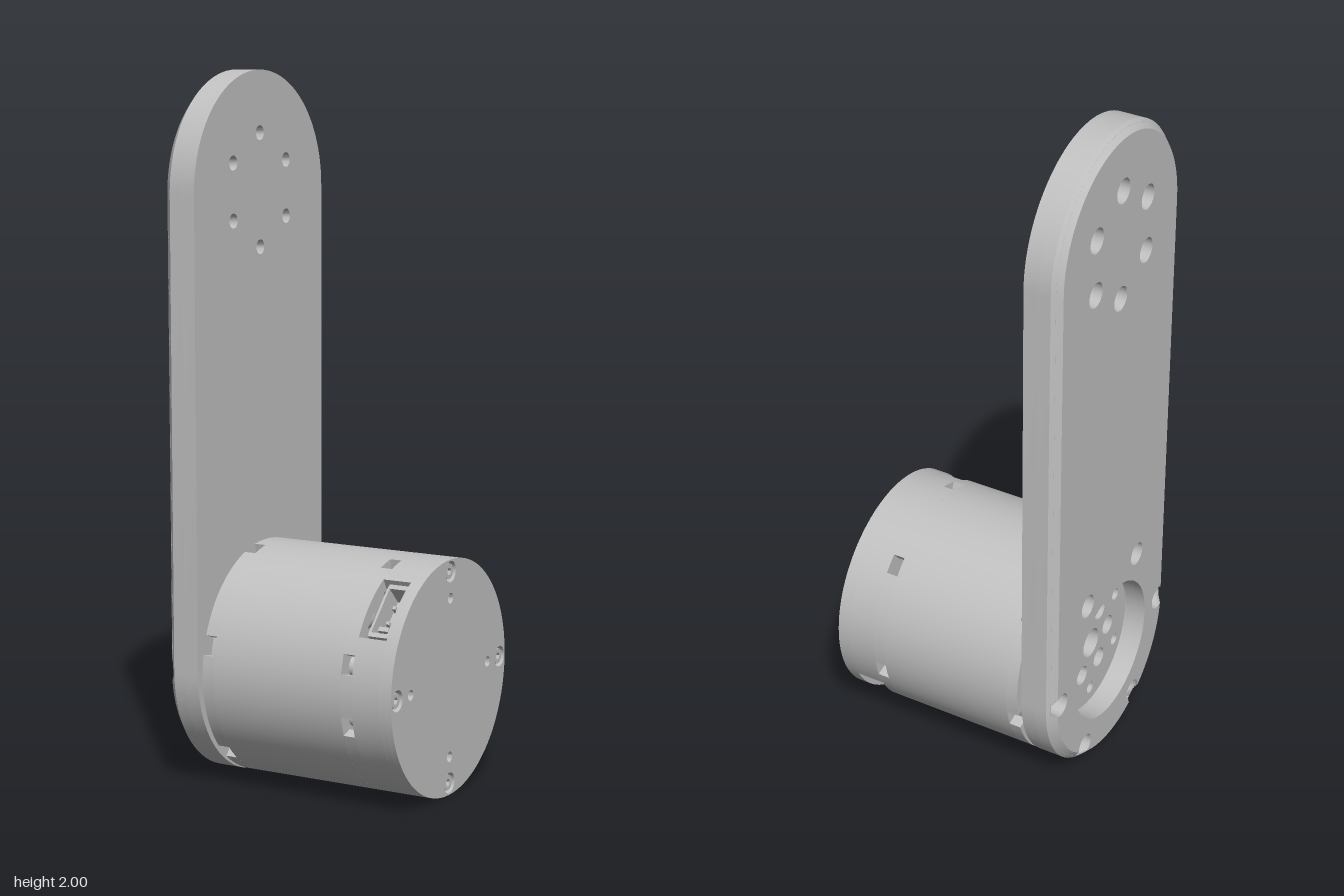
import * as THREE from 'three';
import { toCreasedNormals } from 'three/addons/utils/BufferGeometryUtils.js';

const C = 0.335;            // height of the motor axis
const T = 1.665;            // height of the arm's upper centre
const R = 0.335;            // arm end radius
const RAD = Math.PI / 180;

const metal = new THREE.MeshStandardMaterial({ color: 0xc0c0c0 });
metal.name = 'light grey metal';

const P = (u, v) => new THREE.Vector2(u, v);

// points along an arc, angles in radians
function arc(u, v, r, a0, a1, n) {
  return Array.from({ length: n + 1 }, (_, i) => {
    const a = a0 + ((a1 - a0) * i) / n;
    return P(u + r * Math.cos(a), v + r * Math.sin(a));
  });
}
const circle = (u, v, r, n = 24) => arc(u, v, r, 0, 2 * Math.PI, n).slice(0, -1);

// ring of circular holes around a centre height
function holeRing(cv, pitch, r, count, startDeg) {
  return Array.from({ length: count }, (_, i) => {
    const a = (startDeg + (i * 360) / count) * RAD;
    return circle(pitch * Math.cos(a), cv + pitch * Math.sin(a), r, 20);
  });
}

// extrude a side outline along +x from x0 to x1; optional rule moves the far end
function slab(points, holes, x0, x1, farRule) {
  const shape = new THREE.Shape(points);
  holes.forEach((h) => shape.holes.push(new THREE.Path(h)));
  const geo = new THREE.ExtrudeGeometry(shape, { depth: x1 - x0, bevelEnabled: false });
  const p = geo.attributes.position;
  if (farRule) {
    for (let i = 0; i < p.count; i++) {
      if (p.getZ(i) > (x1 - x0) / 2) {
        const q = farRule(p.getX(i), p.getY(i));
        p.setXY(i, q[0], q[1]);
      }
    }
  }
  geo.rotateY(Math.PI / 2);
  geo.translate(x0, 0, 0);
  geo.computeVertexNormals();
  return toCreasedNormals(geo, 0.5);
}

function add(parent, name, geo) {
  const m = new THREE.Mesh(geo, metal);
  m.name = name;
  parent.add(m);
  return m;
}

// long rounded arm outline, optionally with bolt holes breaking its lower edge
const BOLT = 0.29, BOLT_R = 0.035;
function armOutline(r, notched) {
  const top = arc(0, T, r, 0, Math.PI, 48);
  if (!notched) return [...top, ...arc(0, C, r, Math.PI, 2 * Math.PI, 48)];
  const d = Math.acos((r * r + BOLT * BOLT - BOLT_R * BOLT_R) / (2 * r * BOLT));
  const phi = Math.acos((r * Math.cos(d) - BOLT) / BOLT_R);
  const pts = [...top];
  for (let k = 0; k < 4; k++) {
    const a = (180 + 60 * k) * RAD;
    pts.push(...arc(BOLT * Math.cos(a), C + BOLT * Math.sin(a), BOLT_R, a - phi, a + phi - 2 * Math.PI, 16));
    if (k < 3) pts.push(...arc(0, C, r, a + d, a + 60 * RAD - d, 16).slice(1, -1));
  }
  return pts;
}

// widen the outer edge of an arm slice from radius r0 to r1
const widen = (r0, r1) => (u, v) => {
  const cv = Math.min(T, Math.max(C, v));
  const d = Math.hypot(u, v - cv);
  return d > r0 - 0.002 ? [(u * r1) / d, cv + ((v - cv) * r1) / d] : [u, v];
};

function makeArm() {
  const arm = new THREE.Group();
  arm.name = 'arm';
  const bore = circle(0, C, 0.21, 64);
  const wide = [bore, ...holeRing(T, 0.16, 0.036, 6, 30)];
  const bolts = holeRing(C, BOLT, BOLT_R, 6, 0);
  // chamfer cut through by the bolt recesses
  const step = 0.0047;
  for (let i = 0; i < 3; i++) {
    const r0 = 0.311 + step * i, x0 = -0.36 + step * i;
    add(arm, 'armChamfer', slab(armOutline(r0, true), [...wide, bolts[1], bolts[2]], x0, x0 + step, widen(r0, r0 + step)));
  }
  add(arm, 'armChamferBase', slab(armOutline(0.3255, false), [...wide, ...bolts], -0.3459, -0.336, widen(0.3255, R)));
  add(arm, 'armRecessLayer', slab(armOutline(R, false), [...wide, ...bolts], -0.336, -0.3, null));
  add(arm, 'armBackLayer', slab(armOutline(R, false),
    [bore, ...holeRing(T, 0.16, 0.021, 6, 30), ...holeRing(C, BOLT, 0.02, 6, 0)], -0.3, -0.257, null));
  return arm;
}

// part of the housing wall between two angles, measured from the front upwards
function wall(parent, name, d0, d1, x0, x1) {
  const a0 = (180 - d1) * RAD, a1 = (180 - d0) * RAD;
  const n = Math.max(4, Math.round((d1 - d0) / 4));
  const pts = [...arc(0, C, 0.334, a0, a1, n), ...arc(0, C, 0.3, a1, a0, n)];
  add(parent, name, slab(pts, [], x0, x1));
}

// band of wall with openings at the given angles
function windowBand(parent, name, centres, half, x0, x1) {
  centres.forEach((c, i) => {
    const next = i + 1 < centres.length ? centres[i + 1] : centres[0] + 360;
    wall(parent, name, c + half, next - half, x0, x1);
  });
}

// plug socket set into the wall; local y points outwards
function makeSocket(deg) {
  const g = new THREE.Group();
  g.name = 'plugSocket';
  g.position.set(0, C, 0);
  g.rotation.x = (90 - deg) * RAD;
  const box = (name, w, h, d, x, y, z) => add(g, name, new THREE.BoxGeometry(w, h, d).translate(x, y, z));
  box('socketFloor', 0.085, 0.02, 0.19, 0.2775, 0.24, 0);
  for (const s of [-1, 1]) {
    box('socketSide', 0.06, 0.07, 0.014, 0.286, 0.28, s * 0.078);
    box('socketWall', 0.007, 0.07, 0.156, 0.286 + s * 0.028, 0.28, 0);
    box('socketPin', 0.01, 0.05, 0.01, 0.286, 0.27, s * 0.025);
  }
  box('socketKey', 0.03, 0.055, 0.014, 0.286, 0.275, 0.05);
  return g;
}

function makeMotor() {
  const motor = new THREE.Group();
  motor.name = 'motor';
  const disc = (name, r, x0, x1, holes = []) => add(motor, name, slab(circle(0, C, r, 96), holes, x0, x1));

  // housing wall with notches, slots and socket openings
  windowBand(motor, 'notchedWall', [15, 75, 135, 195, 255, 315], 4.8, -0.242, -0.207);
  disc('mainWall', 0.334, -0.207, 0.2, [circle(0, C, 0.3, 96)]);
  windowBand(motor, 'slottedWall', [-165, -105, -75, -15, 15, 75, 135], 4.8, 0.2, 0.235);
  windowBand(motor, 'socketWallBand', [-135, 45], 16.5, 0.235, 0.32);
  disc('core', 0.3, -0.238, 0.199);

  // winding ends seen through the slots
  for (let i = 0; i < 12; i++) {
    const a = (15 + 30 * i) * RAD;
    const coil = add(motor, 'coilEnd', new THREE.SphereGeometry(0.03, 16, 10));
    coil.scale.set(0.8, 1, 1);
    coil.position.set(0.196, C + 0.265 * Math.sin(a), 0.265 * Math.cos(a));
  }

  // end cap with four screws and four small holes
  disc('capBase', 0.334, 0.32, 0.338);
  disc('endCap', 0.334, 0.338, 0.357,
    [...holeRing(C, 0.3, 0.03, 4, 0), ...holeRing(C, 0.225, 0.015, 4, 0)]);
  for (let i = 0; i < 4; i++) {
    const a = i * 90 * RAD, u = 0.3 * Math.cos(a), v = C + 0.3 * Math.sin(a);
    add(motor, 'screwHead', slab(circle(u, v, 0.022, 24), [circle(u, v, 0.011, 6)], 0.338, 0.352));
  }

  // output flange inside the arm's bore
  const flangeHoles = [circle(0, C, 0.045), ...holeRing(C, 0.165, 0.018, 6, 30), ...holeRing(C, 0.1, 0.03, 6, 0)];
  disc('outputFlange', 0.21, -0.295, -0.257, flangeHoles);
  disc('outputBoss', 0.205, -0.257, -0.237, flangeHoles);

  motor.add(makeSocket(45), makeSocket(-135));
  return motor;
}

export function createModel() {
  const model = new THREE.Group();
  model.name = 'motorWithArm';
  model.add(makeArm(), makeMotor());
  return model;
}
